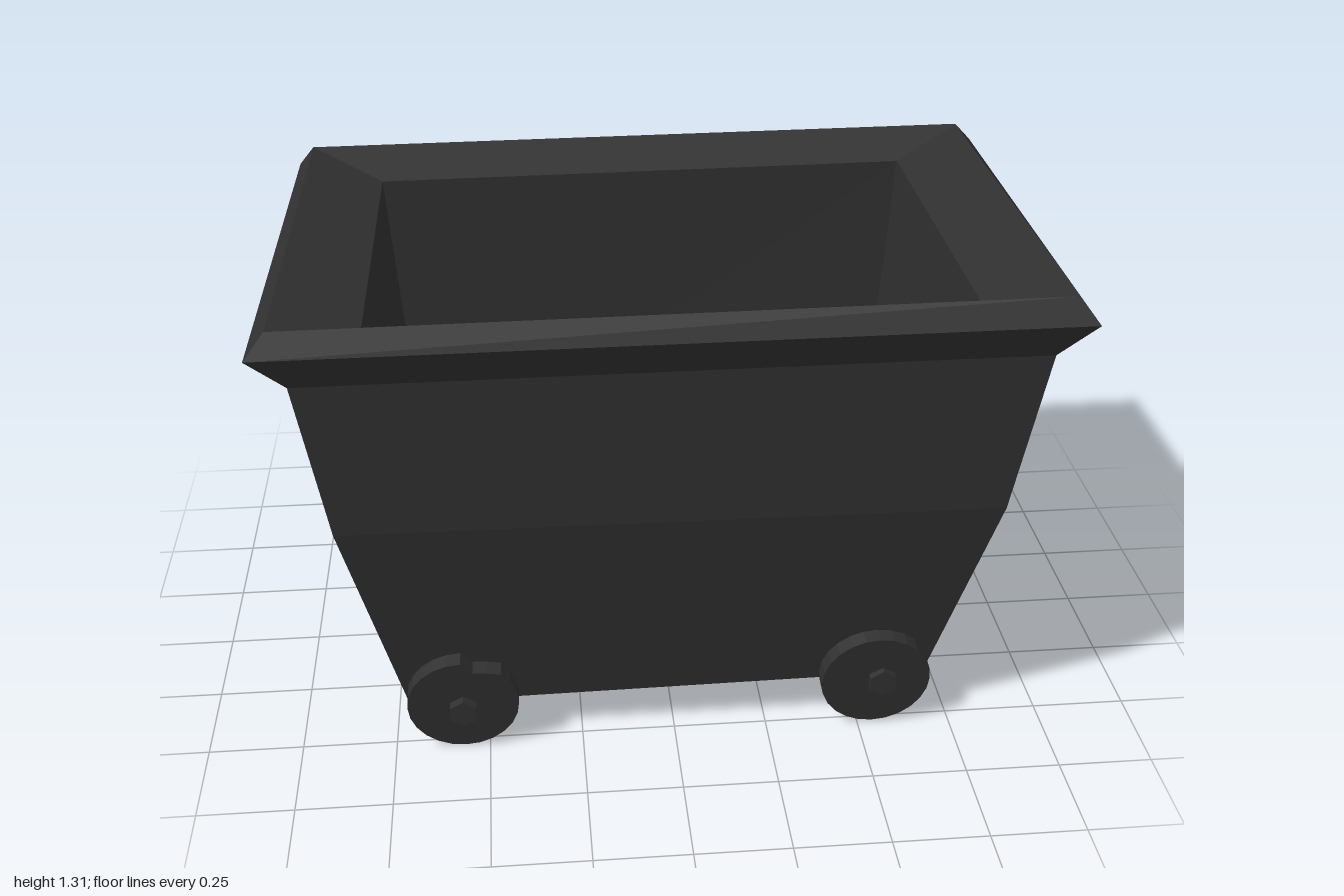
import * as THREE from 'three';

const iron = new THREE.MeshStandardMaterial({ color: 0x303030, flatShading: true });
iron.name = 'darkIron';

// Skin through four-cornered rings: front left, front right, back right, back left of the view
function loft(name, rings, capStart, capEnd) {
  const pos = [];
  const quad = (a, b, c, d) => pos.push(...a, ...b, ...c, ...a, ...c, ...d);
  for (let i = 0; i < rings.length - 1; i++) {
    for (let j = 0; j < 4; j++) {
      const k = (j + 1) % 4;
      quad(rings[i][j], rings[i][k], rings[i + 1][k], rings[i + 1][j]);
    }
  }
  const first = rings[0], last = rings[rings.length - 1];
  if (capStart) quad(first[0], first[3], first[2], first[1]);
  if (capEnd) quad(last[0], last[1], last[2], last[3]);
  const g = new THREE.BufferGeometry();
  g.setAttribute('position', new THREE.Float32BufferAttribute(pos, 3));
  g.computeVertexNormals();
  const mesh = new THREE.Mesh(g, iron);
  mesh.name = name;
  return mesh;
}

// Disc outline around (0, 0), with an optional chip broken out at one angle
function wheelShape(radius, chipAngle) {
  const pts = [];
  const n = 24;
  for (let i = 0; i < n; i++) {
    const a = (i / n) * Math.PI * 2;
    let r = radius;
    if (chipAngle !== null) {
      const d = Math.round(((a - chipAngle) / (Math.PI * 2)) * n);
      if (d === 0) r *= 0.8;
      if (d === -1) r *= 0.87;
    }
    pts.push(new THREE.Vector2(Math.cos(a) * r, Math.sin(a) * r));
  }
  return new THREE.Shape(pts);
}

function wheel(name, x, y, z, tilt, chipAngle = null) {
  const depth = 0.05;
  const g = new THREE.ExtrudeGeometry(wheelShape(0.147, chipAngle), { depth, bevelEnabled: false });
  g.translate(0, 0, -depth / 2);
  const mesh = new THREE.Mesh(g, iron);
  mesh.name = name;
  mesh.position.set(x, y, z);
  mesh.rotation.x = tilt;
  return mesh;
}

// Hexagonal bar between two points; its ends form the hubs
function axle(name, from, to) {
  const a = new THREE.Vector3(...from), b = new THREE.Vector3(...to);
  const dir = b.clone().sub(a);
  const mesh = new THREE.Mesh(new THREE.CylinderGeometry(0.04, 0.04, dir.length(), 6), iron);
  mesh.name = name;
  mesh.position.copy(a).add(b).multiplyScalar(0.5);
  mesh.quaternion.setFromUnitVectors(new THREE.Vector3(0, 1, 0), dir.normalize());
  return mesh;
}

export function createModel() {
  const cart = new THREE.Group();
  cart.name = 'mineCart';

  // Slightly crooked cross-sections, from the underside up and back into the tub
  const bottom = [[-0.71, 0.12, 0.49], [0.68, 0.135, 0.49], [0.72, 0.185, -0.465], [-0.7, 0.165, -0.465]];
  const waist = [[-0.85, 0.72, 0.59], [0.83, 0.71, 0.59], [0.845, 0.69, -0.575], [-0.84, 0.7, -0.565]];
  const neck = [[-0.915, 1.145, 0.615], [0.9, 1.15, 0.615], [0.912, 1.138, -0.615], [-0.9, 1.135, -0.59]];
  const lip = [[-1, 1.24, 0.665], [0.985, 1.245, 0.66], [1, 1.232, -0.67], [-0.99, 1.23, -0.635]];
  const crest = [[-0.95, 1.3, 0.635], [0.935, 1.31, 0.63], [0.945, 1.292, -0.637], [-0.945, 1.29, -0.605]];
  const mouth = [[-0.745, 1.235, 0.505], [0.74, 1.24, 0.495], [0.745, 1.23, -0.505], [-0.745, 1.23, -0.47]];
  const floor = [[-0.675, 0.28, 0.455], [0.67, 0.28, 0.455], [0.675, 0.3, -0.46], [-0.675, 0.29, -0.45]];

  cart.add(loft('tubOutside', [bottom, waist, neck], true, false));
  cart.add(loft('rim', [neck, lip, crest, mouth], false, false));
  cart.add(loft('tubInside', [mouth, floor], false, true));

  // Axles run front to back beneath the tub
  cart.add(axle('rightAxle', [-0.565, 0.135, 0.572], [-0.56, 0.165, -0.525]));
  cart.add(axle('leftAxle', [0.555, 0.155, 0.565], [0.56, 0.183, -0.528]));

  // Leaning wheels, two of them chipped
  cart.add(wheel('frontRightWheel', -0.565, 0.148, 0.52, 0.12, 1.25));
  cart.add(wheel('frontLeftWheel', 0.54, 0.153, 0.518, 0.12));
  cart.add(wheel('backRightWheel', -0.56, 0.168, -0.478, -0.1));
  cart.add(wheel('backLeftWheel', 0.555, 0.17, -0.478, -0.1, 4.2));
  return cart;
}
